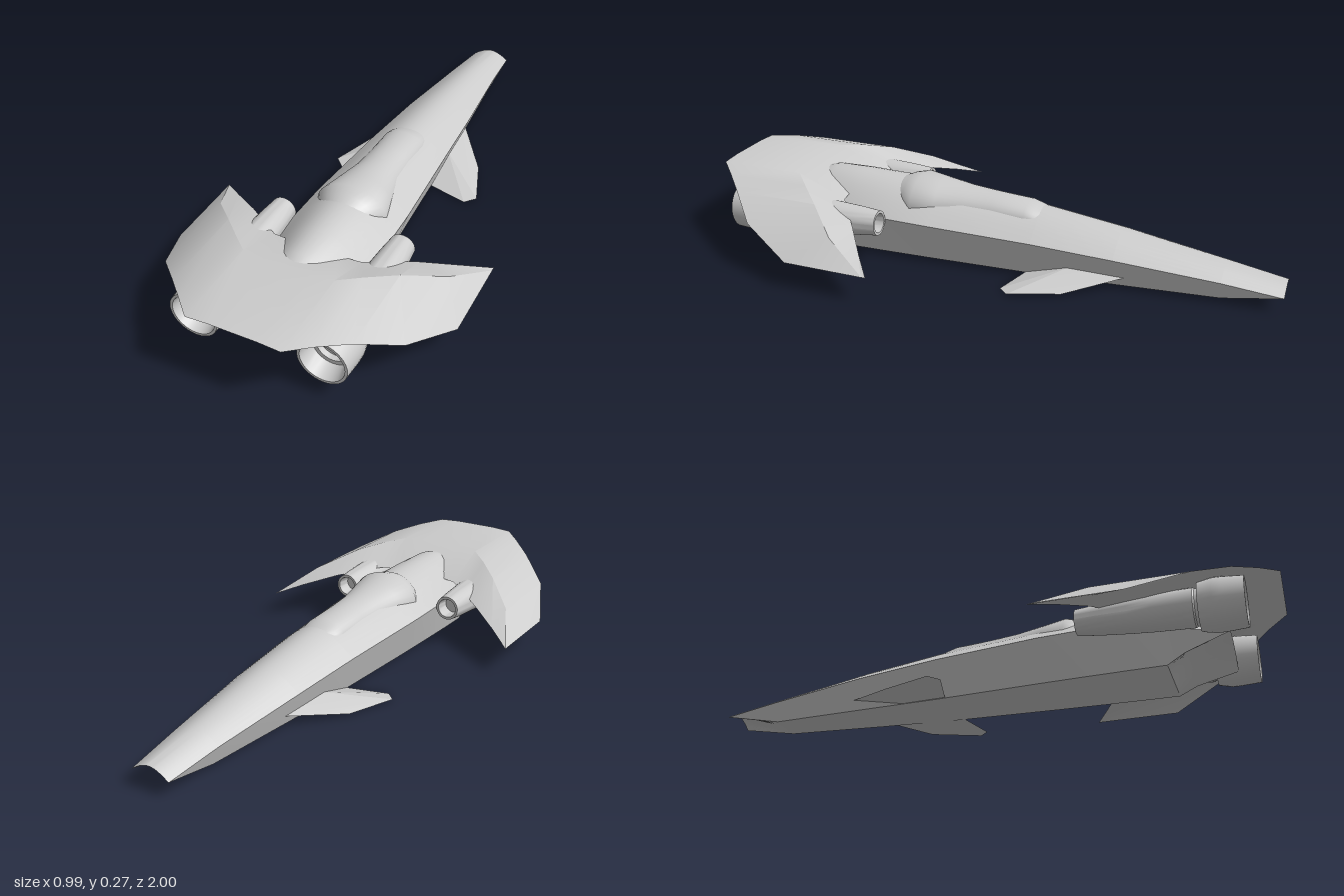
import * as THREE from 'three';
import { toCreasedNormals } from 'three/addons/utils/BufferGeometryUtils.js';
import { ConvexGeometry } from 'three/addons/geometries/ConvexGeometry.js';

const material = new THREE.MeshStandardMaterial({ color: 0xcccccc, side: THREE.DoubleSide });

function addMesh(parent, name, geometry, crease = 0.5) {
  const mesh = new THREE.Mesh(toCreasedNormals(geometry, crease), material);
  mesh.name = name;
  parent.add(mesh);
  return mesh;
}

// Skin over a row of cross-sections with equal point counts
function loft(rings, closed) {
  const n = rings[0].length;
  const index = [];
  for (let i = 0; i < rings.length - 1; i++) {
    for (let j = 0; j < (closed ? n : n - 1); j++) {
      const k = (j + 1) % n;
      const a = i * n + j, b = i * n + k, c = b + n, d = a + n;
      index.push(a, b, c, a, c, d);
    }
  }
  const geometry = new THREE.BufferGeometry();
  geometry.setAttribute('position', new THREE.Float32BufferAttribute(rings.flat(2), 3));
  geometry.setIndex(index);
  return geometry;
}

// Hull: arched top, sharp chine, flat belly that curls into the arch at both ends
function fuselageGeometry() {
  // z, chine half-width, chine y, top y, belly half-width, belly y, belly curl
  const stations = [
    [-1.0, 0.07, 0.05, 0.08, 0.07, 0.05, 1],
    [-0.8, 0.087, 0.075, 0.113, 0.062, 0.01, 0],
    [-0.45, 0.122, 0.108, 0.17, 0.085, 0.004, 0],
    [-0.17, 0.143, 0.128, 0.207, 0.1, 0, 0],
    [0.2, 0.167, 0.143, 0.232, 0.118, 0, 0],
    [0.36, 0.17, 0.147, 0.248, 0.124, 0, 0],
    [0.5, 0.165, 0.14, 0.253, 0.128, 0, 0],
    [0.62, 0.16, 0.12, 0.253, 0.13, 0, 0],
    [0.68, 0.158, 0.108, 0.24, 0.1375, 0, 0.3],
    [0.82, 0.155, 0.075, 0.135, 0.155, 0, 1],
  ];
  const N = 16;
  const rings = stations.map(([z, w, yc, yt, wb, yb, curl]) => {
    const ring = [];
    const arch = (u) => yc + (yt - yc) * Math.cos(u * Math.PI / 2);
    for (let i = 0; i <= N; i++) {
      const u = 1 - 2 * i / N;
      ring.push([u * w, arch(u), z]);
    }
    for (let i = 0; i <= N; i++) {
      const u = -1 + 2 * i / N;
      ring.push([u * wb, yb + curl * (arch(u) - yb), z]);
    }
    return ring;
  });
  return loft(rings, true);
}

// Canopy bulge: half-ellipse sections sunk into the hull
function canopyGeometry() {
  const base = 0.17;
  const stations = [ // z, half-width, top y
    [-0.18, 0.065, 0.202], [-0.15, 0.074, 0.214], [-0.12, 0.078, 0.224],
    [0.0, 0.08, 0.233], [0.1, 0.087, 0.242], [0.2, 0.11, 0.255],
    [0.28, 0.128, 0.267], [0.32, 0.108, 0.258], [0.37, 0.075, 0.238],
  ];
  return loft(stations.map(([z, w, h]) => {
    const ring = [];
    for (let i = 0; i <= 18; i++) {
      const a = Math.PI * i / 18;
      ring.push([w * Math.cos(a), base + (h - base) * Math.sin(a), z]);
    }
    return ring;
  }), false);
}

// Swept, drooping wing: leading edge, upper ridge, trailing edge, hollow underside
function wingGeometry() {
  // x, leading z, leading y, ridge z, top y, trailing z, underside y
  const half = [
    [0, 0.53, 0.195, 0.71, 0.268, 1.0, 0.203],
    [0.08, 0.525, 0.195, 0.705, 0.268, 1.0, 0.203],
    [0.155, 0.515, 0.19, 0.69, 0.263, 1.0, 0.2],
    [0.22, 0.467, 0.178, 0.63, 0.25, 0.936, 0.19],
    [0.3, 0.407, 0.16, 0.55, 0.224, 0.858, 0.172],
    [0.41, 0.327, 0.123, 0.435, 0.165, 0.75, 0.134],
    [0.495, 0.26, 0.09, 0.275, 0.091, 0.56, 0.09],
  ];
  const mirrored = half.slice(1).reverse().map(([x, ...rest]) => [-x, ...rest]);
  return loft([...mirrored, ...half].map(([x, zl, yl, zr, yt, zt, yu]) => [
    [x, yl, zl], [x, yt, zr], [x, yt, zt], [x, yu, zr],
  ]), true);
}

// Engine pod: narrow intake, tapered body, wide stepped nozzle
function engineGeometry() {
  const profile = [
    [0, 0.4], [0.03, 0.4], [0.034, 0.35], [0.043, 0.35], [0.05, 0.42],
    [0.057, 0.52], [0.061, 0.6], [0.064, 0.73], [0.06, 0.735], [0.06, 0.745],
    [0.078, 0.745], [0.087, 0.79], [0.087, 0.82], [0.082, 0.89], [0.073, 0.89],
    [0.064, 0.83], [0.05, 0.83], [0.05, 0.81], [0, 0.81],
  ].map(([r, z]) => new THREE.Vector2(r, z - 0.62));
  return new THREE.LatheGeometry(profile, 36);
}

// Small wedge fin low on the forward hull
function canardGeometry(side) {
  return new ConvexGeometry([
    [0.085, 0.042, -0.5], [0.22, 0.007, -0.31], [0.28, 0.004, -0.14],
    [0.245, 0.002, -0.105], [0.1, 0.002, -0.143], [0.1, 0.05, -0.3], [0.09, 0.003, -0.3],
  ].map(([x, y, z]) => new THREE.Vector3(side * x, y, z)));
}

export function createModel() {
  const model = new THREE.Group();
  model.name = 'spacecraft';
  addMesh(model, 'fuselage', fuselageGeometry());
  addMesh(model, 'canopy', canopyGeometry(), 0.9);
  addMesh(model, 'wing', wingGeometry());
  for (const side of [1, -1]) {
    const label = side > 0 ? 'left' : 'right';
    const engine = addMesh(model, label + 'Engine', engineGeometry());
    engine.rotation.x = Math.PI / 2 + 0.02;
    engine.position.set(side * 0.216, 0.146, 0.62);
    addMesh(model, label + 'Canard', canardGeometry(side), 0.2);
  }
  return model;
}
